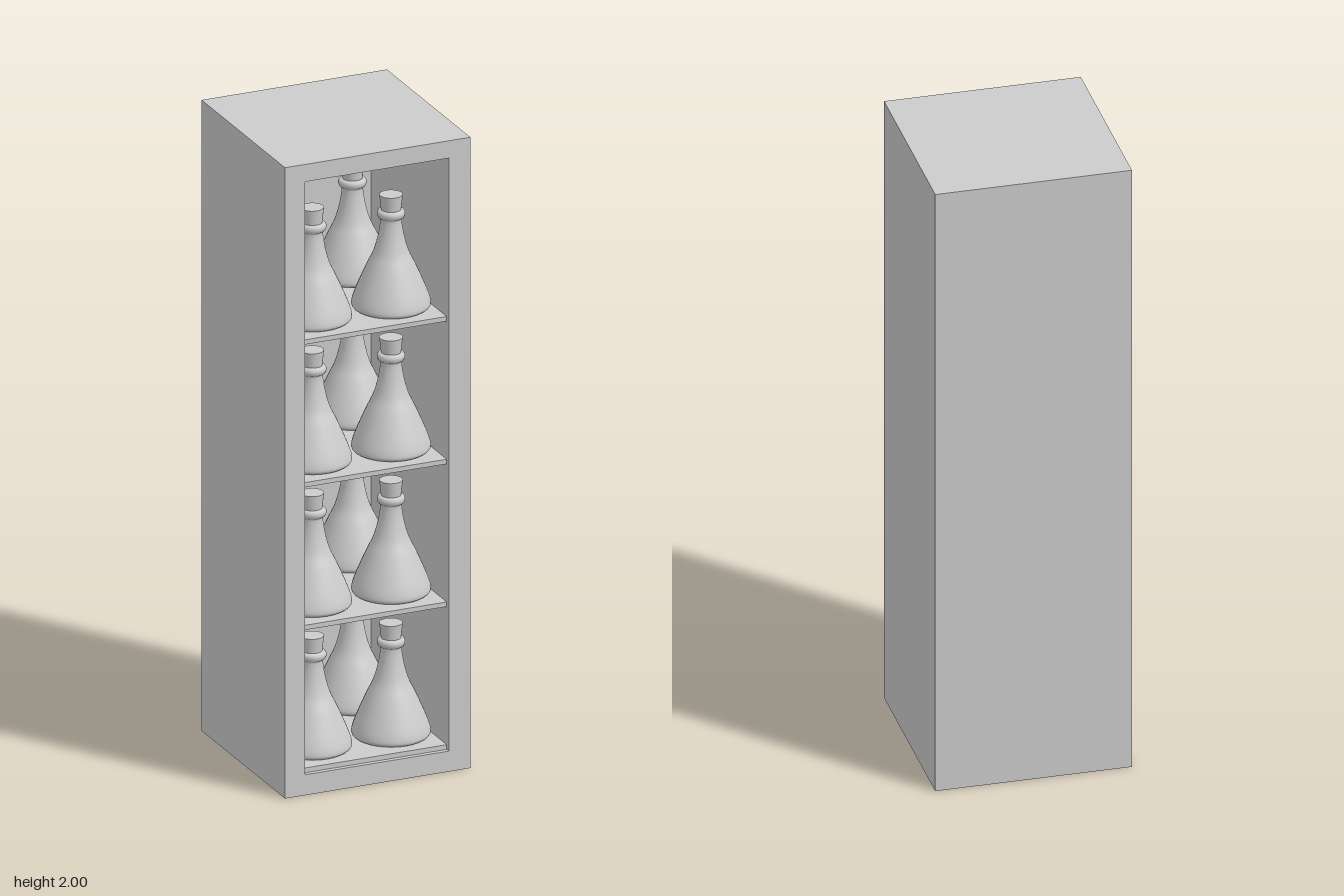
import * as THREE from 'three';

const material = new THREE.MeshStandardMaterial({ color: 0xcccccc, side: THREE.DoubleSide });

function addMesh(parent, name, geometry, x = 0, y = 0, z = 0) {
  const mesh = new THREE.Mesh(geometry, material);
  mesh.name = name;
  mesh.position.set(x, y, z);
  parent.add(mesh);
  return mesh;
}

// Rectangle outline, usable as a shape or as a hole
function rectangle(PathType, x0, y0, x1, y1) {
  const path = new PathType();
  path.moveTo(x0, y0);
  path.lineTo(x1, y0);
  path.lineTo(x1, y1);
  path.lineTo(x0, y1);
  path.closePath();
  return path;
}

const vectors = (points) => points.map(([r, y]) => new THREE.Vector2(r, y));

// Conical flask: rounded foot, concave shoulder, collar at the lip
function flaskGeometry() {
  const side = new THREE.SplineCurve(vectors([
    [0.107, 0], [0.117, 0.008], [0.117, 0.022], [0.108, 0.05], [0.09, 0.094],
    [0.071, 0.137], [0.053, 0.175], [0.04, 0.22], [0.033, 0.26], [0.032, 0.28],
  ])).getPoints(36);
  const lip = vectors([
    [0.038, 0.284], [0.042, 0.292], [0.042, 0.3], [0.038, 0.306], [0.03, 0.308], [0, 0.308],
  ]);
  return new THREE.LatheGeometry([new THREE.Vector2(0, 0), ...side, ...lip], 32);
}

export function createModel() {
  const model = new THREE.Group();
  model.name = 'flaskCabinet';

  // Cabinet shell, open at the front
  const left = -0.235, right = 0.23, back = -0.26;
  const outline = rectangle(THREE.Shape, -0.3, 0, 0.3, 2);
  outline.holes.push(rectangle(THREE.Path, left, 0.065, right, 1.945));
  addMesh(model, 'cabinetShell',
    new THREE.ExtrudeGeometry(outline, { depth: 0.3 - back, bevelEnabled: false }), 0, 0, back);
  addMesh(model, 'backPanel', new THREE.BoxGeometry(0.6, 2, 0.3 + back), 0, 1, (back - 0.3) / 2);

  // Shelves, each with two rows of two stoppered flasks
  const thickness = 0.015;
  const shelf = new THREE.BoxGeometry(right - left, thickness, 0.285 - back);
  const flask = flaskGeometry();
  const cork = new THREE.CylinderGeometry(0.035, 0.029, 0.056, 24);
  for (let i = 0; i < 4; i++) {
    const level = new THREE.Group();
    level.name = `shelfLevel${i + 1}`;
    level.position.y = 0.08 + i * 0.4525;
    model.add(level);
    addMesh(level, 'shelf', shelf, (left + right) / 2, -thickness / 2, (0.285 + back) / 2);

    for (const x of [-0.14, 0.115]) {
      for (const z of [0.14, -0.138]) {
        const bottle = new THREE.Group();
        bottle.name = 'bottle';
        bottle.position.set(x, 0, z);
        level.add(bottle);
        addMesh(bottle, 'flask', flask);
        addMesh(bottle, 'cork', cork, 0, 0.327, 0);
      }
    }
  }

  return model;
}
